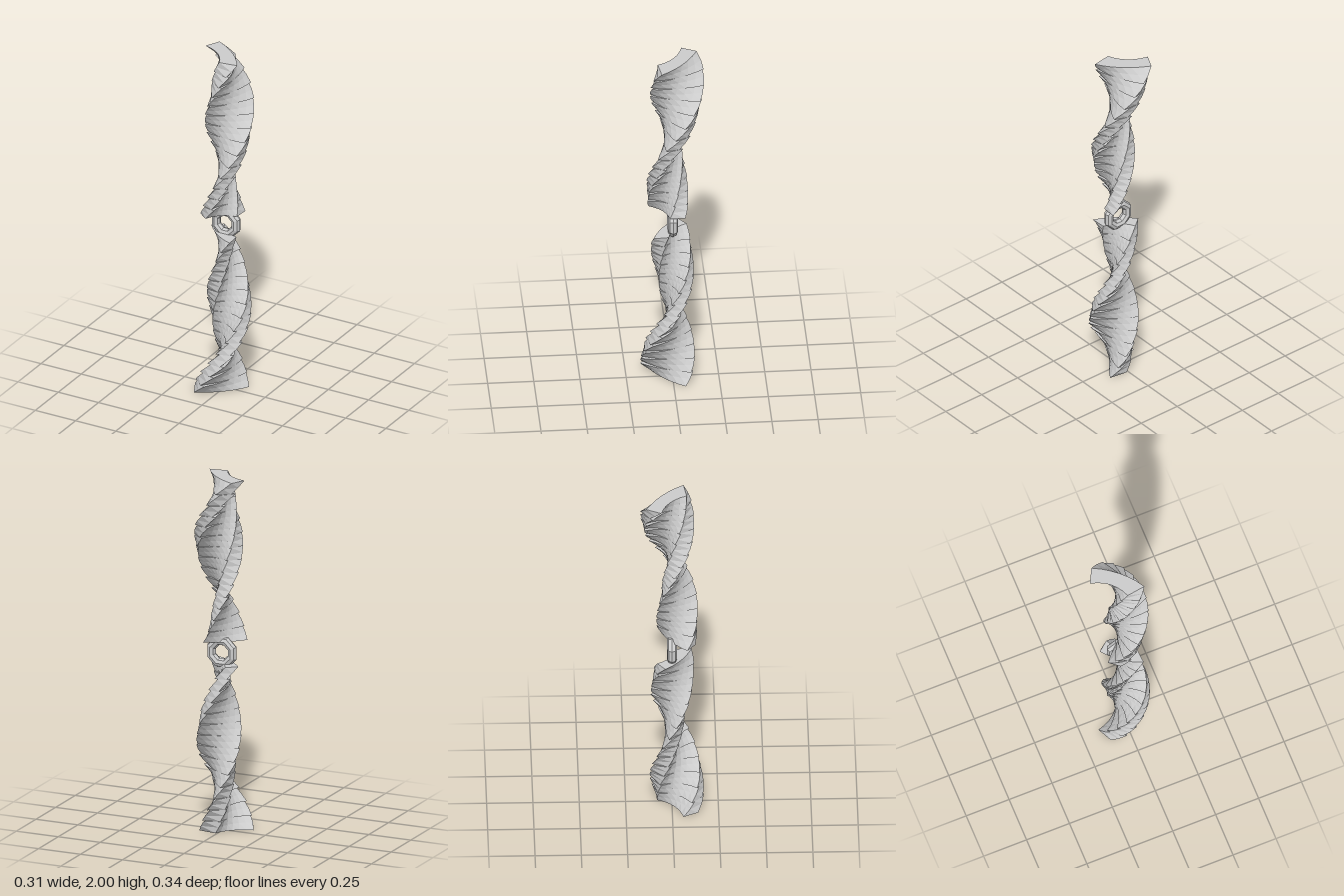
import * as THREE from 'three';

const SEGMENTS = 14;               // stacked pieces per blade
const BLADE_TOP = 2, BLADE_END = 1.06;
const STEP = THREE.MathUtils.degToRad(19.5); // turn from one piece to the next
const TWIST = THREE.MathUtils.degToRad(28);  // turn inside one piece
const HEIGHT = (BLADE_TOP - BLADE_END) / SEGMENTS;

const material = new THREE.MeshStandardMaterial({
  color: 0xcccccc, flatShading: true, side: THREE.DoubleSide,
});

// Curved band seen from above (shape y points to the back)
function bandShape() {
  const s = new THREE.Shape();
  s.moveTo(-0.153, 0.06);
  s.quadraticCurveTo(-0.03, 0.03, 0.01, -0.08);
  s.lineTo(0.113, -0.065);
  s.quadraticCurveTo(0.04, 0.065, -0.113, 0.14);
  s.closePath();
  return s;
}

// One piece: extruded band, twisted, slimmed and drifting sideways towards the ring
function bladeSegment(index, driftX, driftZ) {
  const geo = new THREE.ExtrudeGeometry(bandShape(), {
    depth: HEIGHT, steps: 2, curveSegments: 6, bevelEnabled: false,
  });
  const p = geo.attributes.position;
  for (let i = 0; i < p.count; i++) {
    const x = p.getX(i), y = p.getY(i), d = p.getZ(i);
    const down = 1 - d / HEIGHT;
    const t = (index + down) / SEGMENTS;
    const k = 1 - 0.38 * t + 0.18 * t ** 8; // slims, then flares at the ring
    const a = -(index * STEP + down * TWIST);
    const c = Math.cos(a), s = Math.sin(a);
    p.setXYZ(i, k * (x * c - y * s) + driftX * t * t, k * (x * s + y * c) - driftZ * t * t, d);
  }
  geo.rotateX(-Math.PI / 2);
  geo.translate(0, BLADE_TOP - (index + 1) * HEIGHT - 1, 0);
  geo.computeVertexNormals();
  const mesh = new THREE.Mesh(geo, material);
  mesh.name = 'bladeSegment';
  return mesh;
}

function blade(name, driftX, driftZ) {
  const g = new THREE.Group();
  g.name = name;
  for (let i = 0; i < SEGMENTS; i++) g.add(bladeSegment(i, driftX, driftZ));
  g.position.y = 1;
  return g;
}

export function createModel() {
  const model = new THREE.Group();
  model.name = 'twistedDoubleBlade';

  // Two blades, the lower turned half round about the x axis
  const upper = blade('upperBlade', 0.022, 0.015);
  const lower = blade('lowerBlade', 0.022, -0.03);
  lower.rotation.x = Math.PI;
  model.add(upper, lower);

  // Eight-sided ring between the blades
  const ring = new THREE.Mesh(new THREE.TorusGeometry(0.066, 0.026, 8, 8), material);
  ring.name = 'centreRing';
  ring.rotation.z = Math.PI / 8;
  ring.position.set(0.008, 1, 0);
  model.add(ring);

  return model;
}
